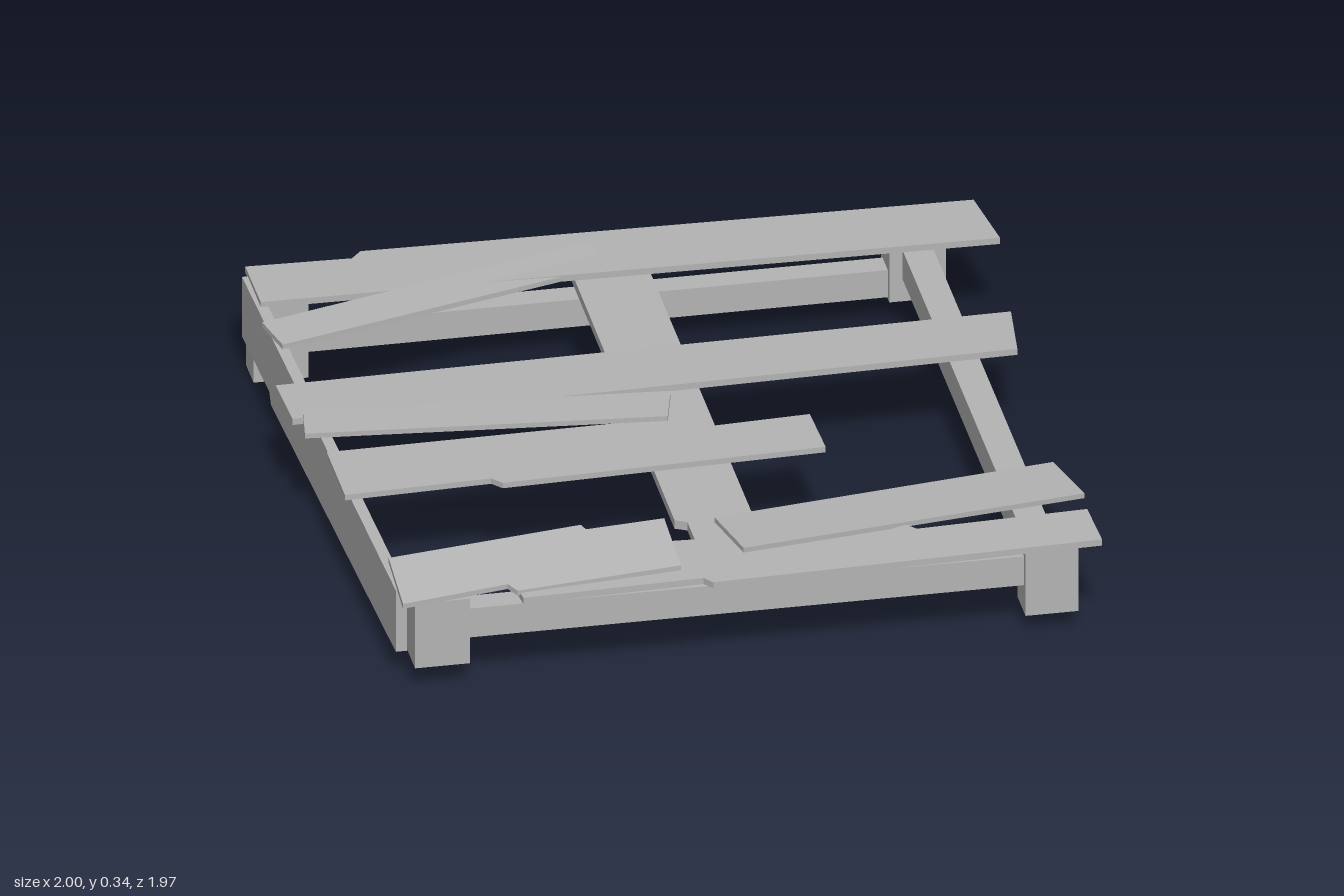
import * as THREE from 'three';

const wood = new THREE.MeshStandardMaterial({ color: 0xb4b4b4 });
wood.name = 'grey wood';

export function createModel() {
  const model = new THREE.Group();
  model.name = 'brokenPlatform';

  const add = (name, geometry) => {
    const mesh = new THREE.Mesh(geometry, wood);
    mesh.name = name;
    model.add(mesh);
  };

  // Box given by its ranges along each axis
  const block = (name, [x0, x1], [y0, y1], [z0, z1]) => {
    const g = new THREE.BoxGeometry(x1 - x0, y1 - y0, z1 - z0);
    add(name, g.translate((x0 + x1) / 2, (y0 + y1) / 2, (z0 + z1) / 2));
  };

  const slab = (points, depth) => new THREE.ExtrudeGeometry(
    new THREE.Shape(points.map(([x, y]) => new THREE.Vector2(x, y))),
    { depth, bevelEnabled: false });

  // Move every vertex by a rule, keeping flat faces
  const bend = (g, rule) => {
    const p = g.attributes.position;
    for (let i = 0; i < p.count; i++) rule(p, i);
    g.computeVertexNormals();
    return g;
  };

  // Plank with an (x, z) outline whose top lies on y = a + b*x + c*z
  const plank = (name, outline, [a, b, c], thickness = 0.014) => {
    const g = slab(outline.map(([x, z]) => [x, -z]), thickness).rotateX(-Math.PI / 2);
    add(name, bend(g, (p, i) =>
      p.setY(i, p.getY(i) - thickness + a + b * p.getX(i) + c * p.getZ(i))));
  };

  // Corner posts
  block('frontRightPost', [-0.875, -0.73], [0.065, 0.255], [0.8, 0.91]);
  block('frontLeftPost', [0.74, 0.88], [0.05, 0.255], [0.8, 0.91]);
  block('backRightPost', [-0.955, -0.81], [0, 0.255], [-0.93, -0.83]);
  block('backLeftPost', [0.725, 0.875], [0.065, 0.255], [-0.93, -0.82]);

  // Frame rails
  block('frontRail', [-0.73, 0.74], [0.13, 0.215], [0.82, 0.89]);
  block('backRail', [-0.81, 0.725], [0.07, 0.15], [-0.91, -0.84]);
  block('leftRail', [0.76, 0.84], [0.13, 0.215], [-0.82, 0.8]);

  // Chipped upright side board, skewed outward toward the back
  const side = slab([[-0.93, 0.26], [0.82, 0.25], [0.82, 0.07], [-0.6, 0.055],
    [-0.62, 0.085], [-0.93, 0.085]], 0.03).rotateY(-Math.PI / 2);
  add('sideBoard', bend(side, (p, i) => p.setX(i, p.getX(i) - 0.905 + 0.033 * p.getZ(i))));

  // Centre support board under the deck
  plank('centreBoard', [[-0.115, -0.87], [0.08, -0.87], [0.08, 0.8], [-0.09, 0.8],
    [-0.09, 0.585], [-0.12, 0.565]], [0.249, 0.07, 0], 0.025);

  // Deck planks lying across the frame
  plank('backPlank', [[-0.95, -0.965], [-0.67, -0.955], [-0.64, -0.99], [0.975, -0.955],
    [1, -0.73], [-0.15, -0.75], [-0.95, -0.76]], [0.284, 0, 0.014], 0.018);
  plank('middlePlank', [[-1, -0.31], [0.95, -0.335], [0.925, -0.125], [-0.68, -0.09],
    [-0.71, -0.115], [-0.995, -0.115]], [0.275, 0, 0.015], 0.018);
  plank('shortPlank', [[-0.945, 0.09], [-0.085, 0.08], [-0.05, 0.15], [0.325, 0.13],
    [0.33, 0.315], [-0.53, 0.345], [-0.555, 0.315], [-0.945, 0.33]], [0.278, 0, 0], 0.016);
  plank('frontPlank', [[-0.6, 0.968], [-0.12, 0.952], [-0.1, 0.98], [0.935, 0.947],
    [0.93, 0.775], [0.475, 0.795], [0.455, 0.77], [-0.18, 0.735], [-0.62, 0.75]],
  [0.274, 0, 0], 0.018);

  // Loose broken planks
  plank('tiltedFrontPlank', [[-0.915, 0.95], [-0.63, 0.91], [-0.61, 0.94], [-0.17, 0.9],
    [-0.175, 0.705], [-0.385, 0.72], [-0.395, 0.7], [-0.915, 0.76]], [0.46, 0, -0.19]);
  plank('fallenFrontPlank', [[-0.05, 0.745], [-0.01, 0.93], [0.96, 0.59], [0.915, 0.4]],
    [0.302, -0.11, 0.039]);
  plank('looseMiddlePlank', [[-0.965, -0.125], [-0.01, -0.035], [-0.045, 0.1], [-0.985, 0]],
    [0.295, 0.006, 0]);
  plank('looseBackPlank', [[-0.97, -0.64], [-0.055, -0.915], [-0.02, -0.79], [-0.94, -0.52]],
    [0.235, -0.017, -0.043]);

  return model;
}
